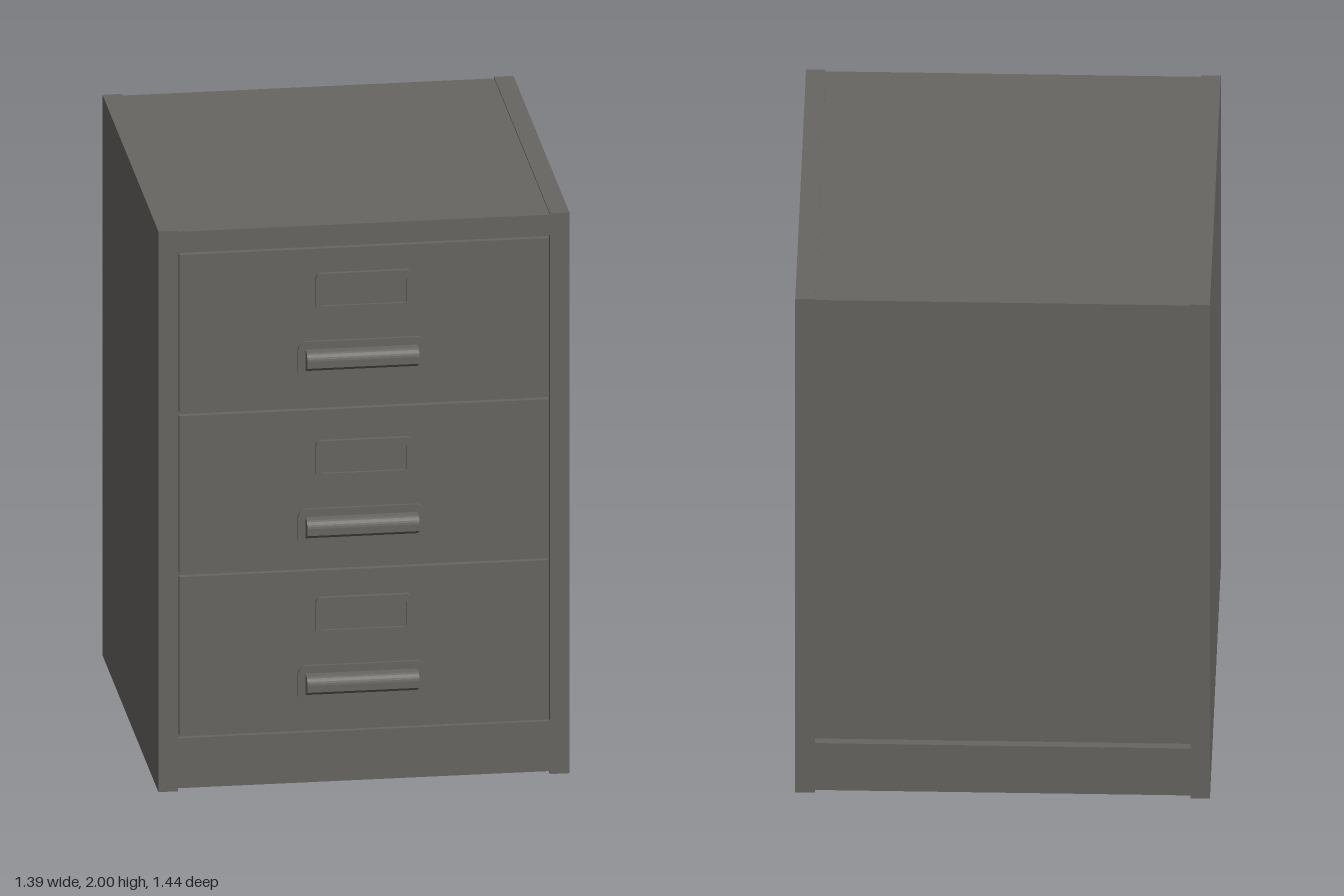
import * as THREE from 'three';

export function createModel() {
  const group = new THREE.Group();
  group.name = 'filingCabinet';
  const grey = new THREE.MeshStandardMaterial({ color: 0x686662 });
  grey.name = 'warm grey steel';

  const add = (name, geometry, parent = group) => {
    const mesh = new THREE.Mesh(geometry, grey);
    mesh.name = name;
    parent.add(mesh);
    return mesh;
  };
  // Box given by its limits on each axis
  const box = (name, x0, x1, y0, y1, z0, z1, parent) =>
    add(name, new THREE.BoxGeometry(x1 - x0, y1 - y0, z1 - z0), parent)
      .position.set((x0 + x1) / 2, (y0 + y1) / 2, (z0 + z1) / 2);

  const roundedRect = (path, w, h, r) => {
    const x = w / 2, y = h / 2;
    path.absarc(x - r, y - r, r, 0, Math.PI / 2);
    path.absarc(-x + r, y - r, r, Math.PI / 2, Math.PI);
    path.absarc(-x + r, -y + r, r, Math.PI, Math.PI * 1.5);
    path.absarc(x - r, -y + r, r, Math.PI * 1.5, Math.PI * 2);
    path.closePath();
    return path;
  };
  const extrude = (shape, depth) =>
    new THREE.ExtrudeGeometry(shape, { depth, bevelEnabled: false, curveSegments: 6 });

  // Carcass: tall side panels with a slightly lower body between them
  const inner = 0.631;
  for (const [side, s] of [['left', 1], ['right', -1]]) {
    const xs = [s * inner, s * 0.697].sort((a, b) => a - b);
    box(side + 'SidePanel', xs[0], xs[1], 0, 2, -0.72, 0.66);
  }
  box('core', -inner, inner, 0.01, 1.995, -0.69, 0.64);
  box('topFrontRail', -inner, inner, 1.923, 1.995, 0.64, 0.658);
  box('kickPlate', -inner, inner, 0.01, 0.188, 0.64, 0.658);
  // Rails framing the recessed back panel
  box('topBackRail', -inner, inner, 1.915, 1.995, -0.718, -0.69);
  box('bottomBackRail', -inner, inner, 0.01, 0.2, -0.718, -0.69);

  // Handle grip section, drawn as (z, y)
  const grip = new THREE.Shape();
  grip.moveTo(0, 0.04);
  grip.lineTo(0.034, 0.039);
  grip.quadraticCurveTo(0.052, 0.035, 0.055, 0.012);
  grip.lineTo(0.055, -0.012);
  grip.lineTo(0, -0.04);
  grip.closePath();
  const gripGeometry = extrude(grip, 0.38).rotateY(-Math.PI / 2).translate(0.19, 0, 0);

  const plateGeometry = extrude(roundedRect(new THREE.Shape(), 0.43, 0.137, 0.03), 0.012);
  const frameShape = roundedRect(new THREE.Shape(), 0.325, 0.135, 0.018);
  frameShape.holes.push(roundedRect(new THREE.Path(), 0.29, 0.097, 0.01));
  const frameGeometry = extrude(frameShape, 0.016);

  // Drawers: bottom, top and handle height
  const drawers = [[1.353, 1.913, 1.517], [0.776, 1.338, 0.92], [0.198, 0.764, 0.361]];
  drawers.forEach(([y0, y1, handleY], i) => {
    const drawer = new THREE.Group();
    drawer.name = 'drawer' + (i + 1);
    group.add(drawer);
    box('drawerFront', -0.626, 0.626, y0, y1, 0.64, 0.661, drawer);
    add('handlePlate', plateGeometry, drawer).position.set(-0.01, handleY, 0.66);
    add('handleGrip', gripGeometry, drawer).position.set(-0.01, handleY + 0.002, 0.665);
    add('labelFrame', frameGeometry, drawer).position.set(-0.002, handleY + 0.243, 0.66);
    box('labelCard', -0.149, 0.145, handleY + 0.193, handleY + 0.293, 0.66, 0.666, drawer);
  });

  return group;
}
